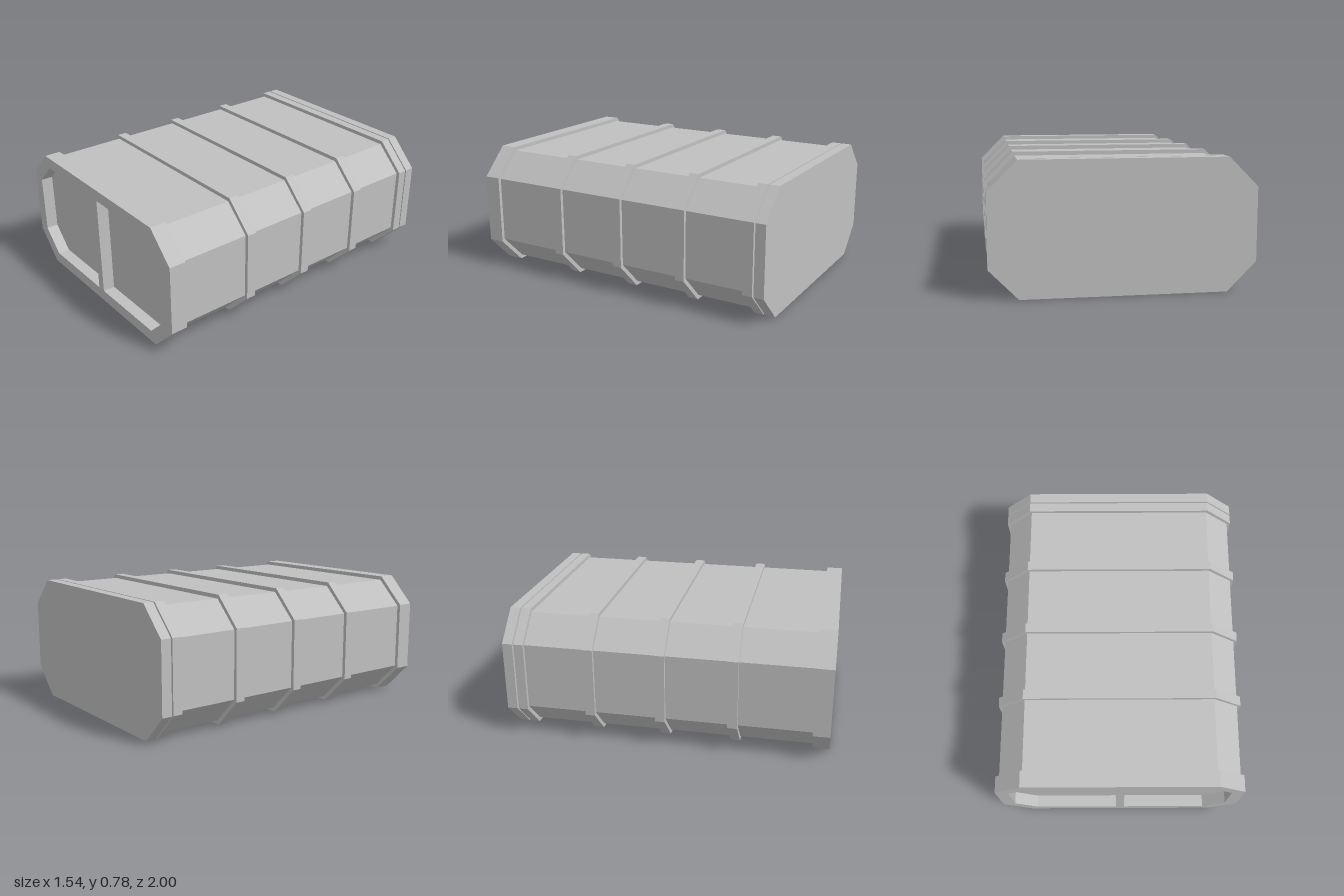
import * as THREE from 'three';

// Octagonal outline: half width, half width of the flat top, and four heights
function octagon(w, cut, y0, y1, y2, y3) {
  return [[-cut, y0], [cut, y0], [w, y1], [w, y2], [cut, y3], [-cut, y3], [-w, y2], [-w, y1]]
    .map(([x, y]) => new THREE.Vector2(x, y));
}

export function createModel() {
  const group = new THREE.Group();
  const grey = new THREE.MeshStandardMaterial({ color: 0xc0c0c0 });
  grey.name = 'hull grey';

  const rim = octagon(0.772, 0.6, 0, 0.175, 0.61, 0.784);
  const hull = octagon(0.75, 0.59, 0.025, 0.188, 0.602, 0.76);

  // Extrudes an outline between two z positions
  function slab(name, points, z0, z1, holes = []) {
    const shape = new THREE.Shape(points);
    shape.holes = holes.map((h) => new THREE.Path(h));
    const geometry = new THREE.ExtrudeGeometry(shape, { depth: z1 - z0, bevelEnabled: false });
    geometry.translate(0, 0, z0);
    const mesh = new THREE.Mesh(geometry, grey);
    mesh.name = name;
    group.add(mesh);
  }

  // Main body and the raised ribs around it
  slab('body', hull, -0.95, 0.91);
  [0.42, -0.022, -0.462, -0.898].forEach((z, i) => slab('rib' + (i + 1), rim, z - 0.03, z + 0.03));
  slab('backCap', rim, -1, -0.937);

  // Front collar with two recessed panels either side of a central post
  const opening = (side) => [
    [0.027, 0.073], [0.557, 0.073], [0.693, 0.21], [0.693, 0.577], [0.557, 0.713], [0.027, 0.713],
  ].map(([x, y]) => new THREE.Vector2(side * x, y));
  slab('frontCollar', rim, 0.897, 0.925);
  slab('frontFrame', rim, 0.925, 1, [opening(-1), opening(1)]);

  return group;
}
